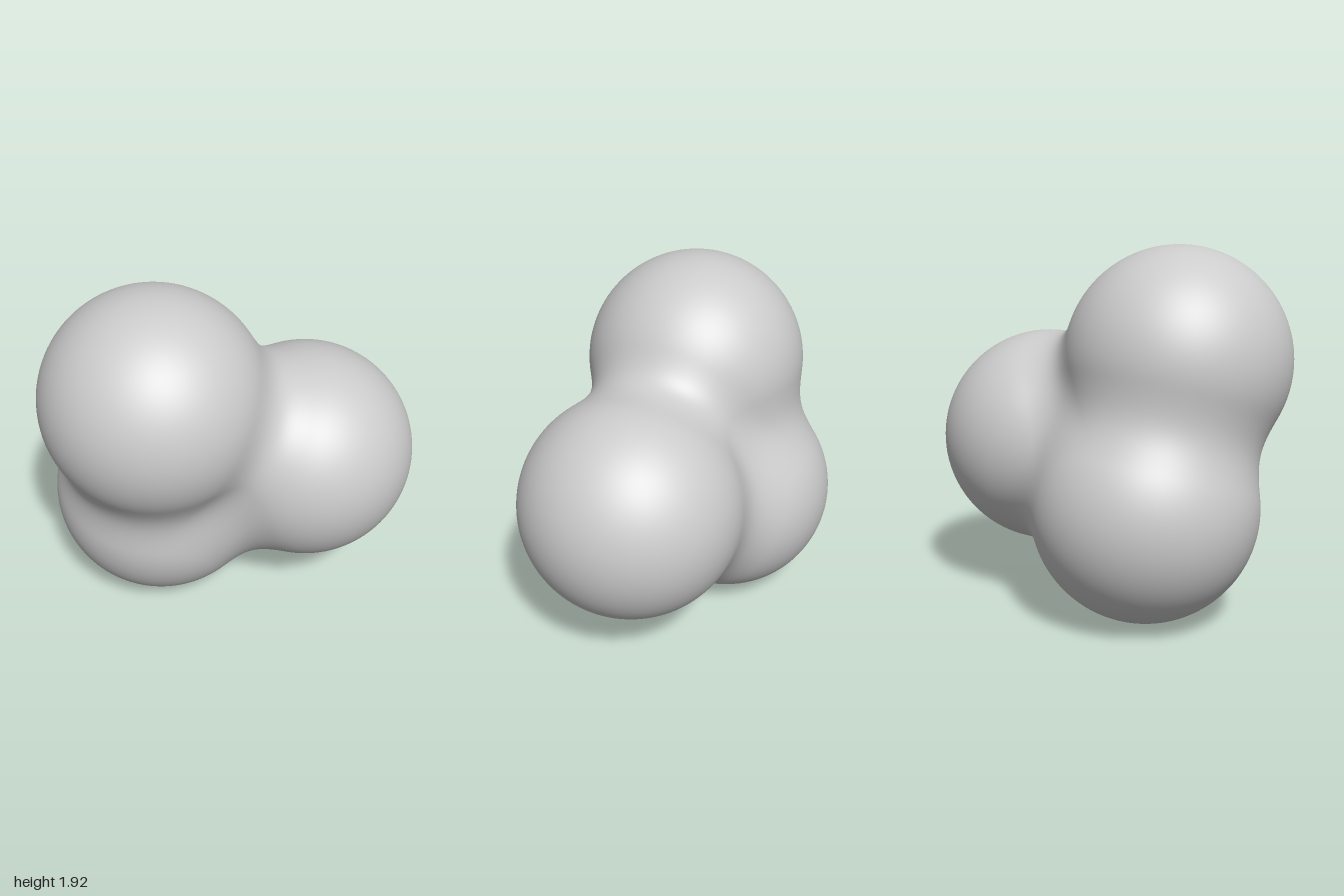
import * as THREE from 'three';
import { mergeVertices } from 'three/addons/utils/BufferGeometryUtils.js';

// Three equal balls melted together
const RADIUS = 0.59;
const BLEND = 0.23;
const BALLS = [
  new THREE.Vector3(-0.4, 1.33, 0.11),
  new THREE.Vector3(0.41, 0.855, -0.03),
  new THREE.Vector3(-0.38, 0.59, -0.12),
];

// Smooth minimum rounds the creases between balls
function smoothMin(a, b) {
  const h = Math.max(BLEND - Math.abs(a - b), 0) / BLEND;
  return Math.min(a, b) - h * h * BLEND * 0.25;
}

function distance(p) {
  return BALLS.map((c) => p.distanceTo(c) - RADIUS).reduce(smoothMin);
}

export function createModel() {
  const group = new THREE.Group();
  group.name = 'blob';

  // All balls overlap the middle, so push a sphere outwards from there onto the skin
  const middle = new THREE.Vector3();
  BALLS.forEach((c) => middle.addScaledVector(c, 1 / BALLS.length));

  let geometry = new THREE.IcosahedronGeometry(1, 36);
  geometry.deleteAttribute('uv');
  geometry.deleteAttribute('normal');
  geometry = mergeVertices(geometry, 1e-4);

  const pos = geometry.attributes.position;
  const dir = new THREE.Vector3();
  const p = new THREE.Vector3();
  for (let i = 0; i < pos.count; i++) {
    dir.fromBufferAttribute(pos, i).normalize();
    let near = 0;
    let far = 2;
    for (let step = 0; step < 24; step++) {
      const t = (near + far) / 2;
      p.copy(middle).addScaledVector(dir, t);
      if (distance(p) < 0) near = t;
      else far = t;
    }
    pos.setXYZ(i, p.x, p.y, p.z);
  }
  geometry.computeVertexNormals();

  const mesh = new THREE.Mesh(geometry, new THREE.MeshStandardMaterial({ color: 0xcccccc }));
  mesh.name = 'meltedBalls';
  group.add(mesh);
  return group;
}
